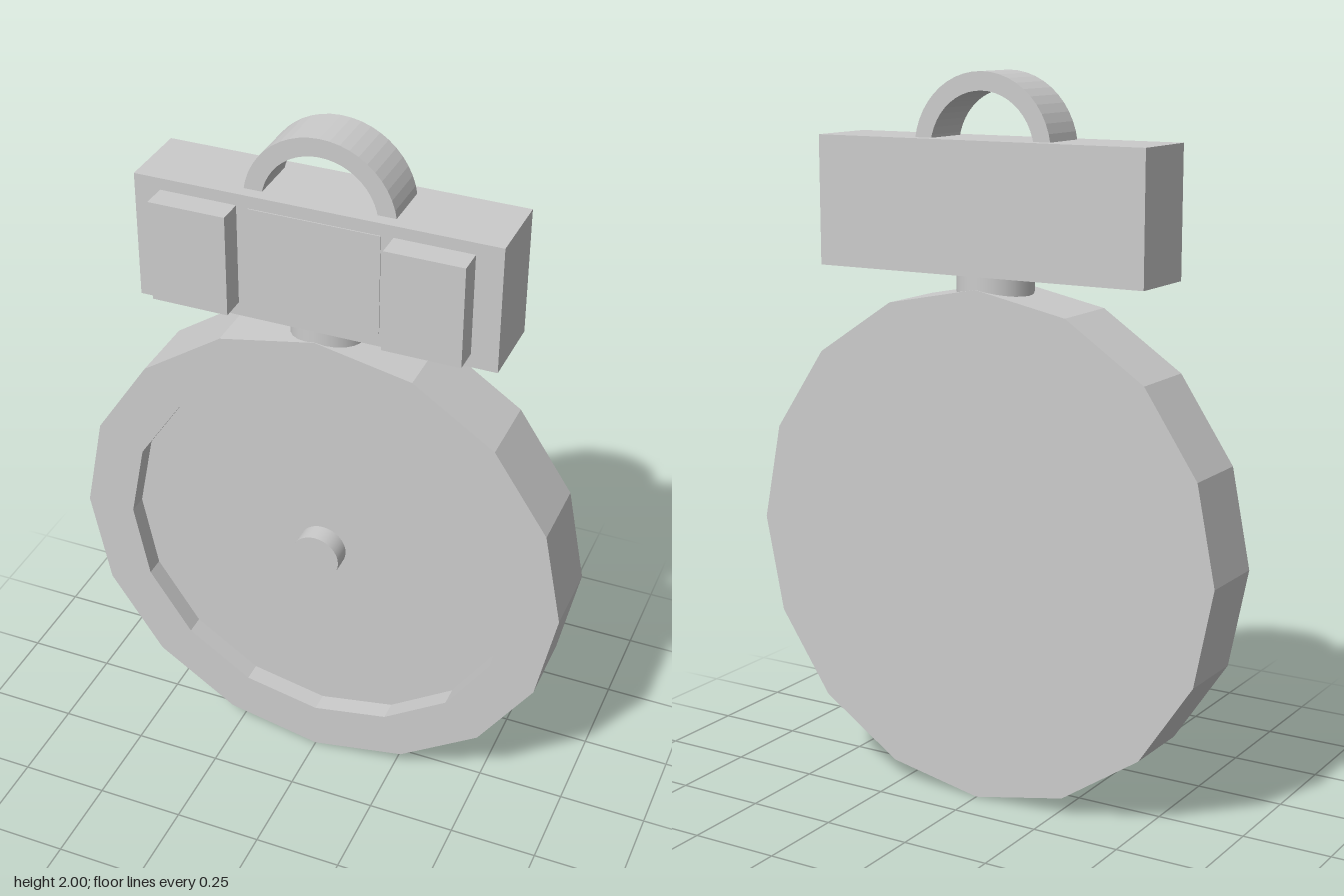
import * as THREE from 'three';

const BACK = -0.142, FACE = 0.071, MID = (BACK + FACE) / 2;
const DISC_Y = 0.717;

export function createModel() {
  const model = new THREE.Group();
  const flat = new THREE.MeshStandardMaterial({ color: 0xcccccc, flatShading: true });
  const smooth = new THREE.MeshStandardMaterial({ color: 0xcccccc });

  const add = (name, geometry, x, y, z, material = flat) => {
    const mesh = new THREE.Mesh(geometry, material);
    mesh.name = name;
    mesh.position.set(x, y, z);
    model.add(mesh);
    return mesh;
  };
  const box = (name, w, y0, y1, z0, z1, x = 0) =>
    add(name, new THREE.BoxGeometry(w, y1 - y0, z1 - z0), x, (y0 + y1) / 2, (z0 + z1) / 2);

  // Sixteen-sided dial with a raised rim and a shallow recessed face
  const floor = 0.015;
  const profile = [
    [0, BACK], [0.715, BACK], [0.715, FACE], [0.573, FACE], [0.573, floor], [0, floor],
  ].map(([r, h]) => new THREE.Vector2(r, h));
  add('dial', new THREE.LatheGeometry(profile, 16).rotateX(Math.PI / 2), 0, DISC_Y, 0);

  // Centre pin standing on the recessed face
  add('centrePin', new THREE.CylinderGeometry(0.07, 0.07, FACE - floor, 32).rotateX(Math.PI / 2),
    0, DISC_Y, (FACE + floor) / 2, smooth);

  // Short neck between dial and top bar
  add('neck', new THREE.CylinderGeometry(0.105, 0.105, 0.14, 24), 0, 1.42, MID, smooth);

  // Top bar with a thin centre plate and two raised pads
  box('topBar', 1.0, 1.466, 1.823, BACK, FACE);
  box('centrePlate', 0.36, 1.505, 1.788, FACE - 0.01, FACE + 0.003);
  for (const side of [-1, 1]) {
    box(side > 0 ? 'leftPad' : 'rightPad', 0.214, 1.505, 1.79, FACE - 0.01, 0.142, side * 0.32);
  }

  // Half-ring hanging loop, its ends sunk into the bar
  const arch = new THREE.Shape();
  arch.absarc(0, 0, 0.21, 0, Math.PI, false);
  arch.absarc(0, 0, 0.16, Math.PI, 0, true);
  add('loop', new THREE.ExtrudeGeometry(arch, { depth: 0.143, bevelEnabled: false, curveSegments: 12 }),
    0, 1.79, MID - 0.0715);

  return model;
}
